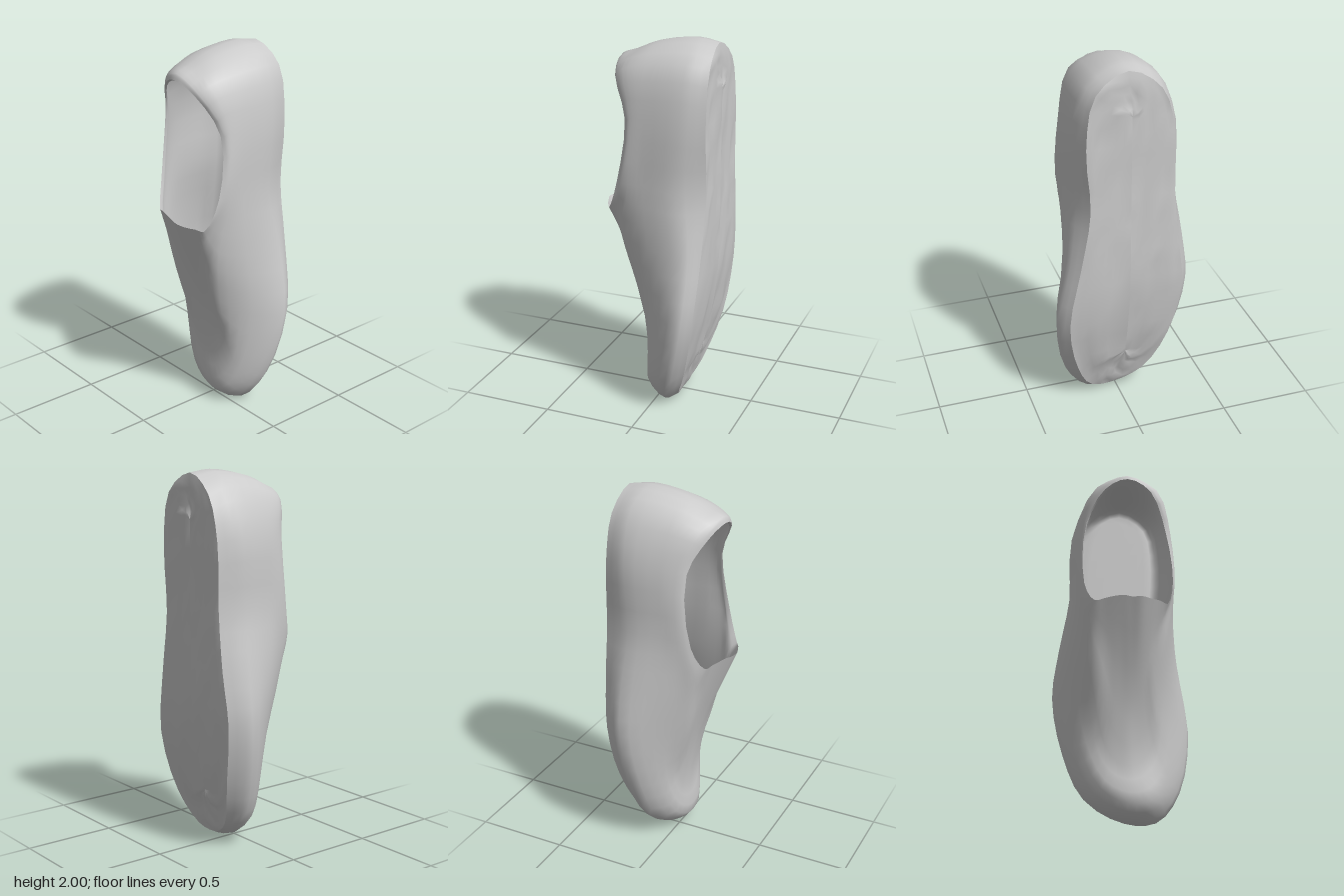
import * as THREE from 'three';

// Control loops, x y z, running toe -> left side -> heel -> right side.
const soleEdge = [
  0.03, 0.03, -0.115, 0.15, 0.05, -0.13, 0.25, 0.23, -0.2, 0.31, 0.56, -0.265,
  0.25, 0.93, -0.29, 0.2, 1.25, -0.295, 0.22, 1.6, -0.295, 0.17, 1.88, -0.295,
  0, 1.985, -0.285, -0.17, 1.88, -0.295, -0.24, 1.65, -0.295, -0.25, 1.3, -0.295,
  -0.28, 1, -0.295, -0.31, 0.72, -0.28, -0.25, 0.4, -0.245, -0.13, 0.13, -0.165];
const widest = [
  0, 0.01, -0.04, 0.17, 0.015, -0.06, 0.3, 0.19, -0.11, 0.365, 0.56, -0.19,
  0.305, 0.93, -0.2, 0.265, 1.25, -0.15, 0.265, 1.62, -0.17, 0.2, 1.9, -0.18,
  0, 2, -0.16, -0.18, 1.92, -0.18, -0.285, 1.67, -0.17, -0.29, 1.3, -0.15,
  -0.34, 1, -0.17, -0.37, 0.72, -0.17, -0.31, 0.39, -0.13, -0.2, 0.14, -0.09];
const middle = [
  0.02, 0.08, 0.06, 0.14, 0.1, 0.055, 0.23, 0.24, 0.01, 0.28, 0.58, -0.03,
  0.27, 0.93, 0, 0.265, 1.27, 0.03, 0.26, 1.62, 0.02, 0.19, 1.88, 0.05,
  0, 1.97, 0.04, -0.17, 1.9, 0.05, -0.265, 1.66, 0.02, -0.27, 1.3, 0.03,
  -0.29, 1, 0.02, -0.29, 0.72, -0.01, -0.23, 0.4, 0, -0.12, 0.16, 0.04];
const lowerVamp = [
  0.02, 0.28, 0.055, 0.09, 0.31, 0.05, 0.15, 0.42, 0.05, 0.17, 0.66, 0.1,
  0.22, 0.97, 0.15, 0.265, 1.27, 0.11, 0.25, 1.62, 0.1, 0.17, 1.85, 0.17,
  0, 1.92, 0.16, -0.15, 1.86, 0.17, -0.24, 1.66, 0.1, -0.255, 1.28, 0.11,
  -0.23, 1, 0.13, -0.18, 0.74, 0.12, -0.12, 0.45, 0.055, -0.06, 0.32, 0.05];
const upperVamp = [
  0.02, 0.62, 0.11, 0.06, 0.66, 0.12, 0.1, 0.75, 0.145, 0.14, 0.89, 0.18,
  0.2, 1.05, 0.2, 0.26, 1.27, 0.15, 0.24, 1.6, 0.125, 0.15, 1.81, 0.22,
  0, 1.89, 0.24, -0.13, 1.83, 0.21, -0.225, 1.66, 0.13, -0.24, 1.26, 0.15,
  -0.2, 1.06, 0.19, -0.13, 0.92, 0.18, -0.07, 0.78, 0.15, -0.02, 0.68, 0.125];
const collar = [
  0.02, 1.12, 0.29, 0.07, 1.12, 0.3, 0.12, 1.115, 0.285, 0.17, 1.115, 0.265,
  0.21, 1.11, 0.24, 0.25, 1.28, 0.175, 0.22, 1.6, 0.14, 0.13, 1.8, 0.23,
  0, 1.86, 0.255, -0.12, 1.81, 0.22, -0.215, 1.64, 0.145, -0.225, 1.25, 0.175,
  -0.17, 1.12, 0.23, -0.12, 1.125, 0.25, -0.07, 1.13, 0.27, -0.02, 1.13, 0.285];

const COLS = 48, STEPS = 3;

// Smooth closed loop through the control points
function loop(a) {
  const pts = [];
  for (let i = 0; i < a.length; i += 3) pts.push(new THREE.Vector3(a[i], a[i + 1], a[i + 2]));
  const curve = new THREE.CatmullRomCurve3(pts, true);
  return Array.from({ length: COLS }, (_, i) => curve.getPoint(i / COLS));
}

// Extra rows between loops, following a curve up each column
function refine(loops) {
  const n = (loops.length - 1) * STEPS;
  const columns = loops[0].map((_, i) => new THREE.CatmullRomCurve3(loops.map(l => l[i])));
  return Array.from({ length: n + 1 }, (_, r) => columns.map(c => c.getPoint(r / n)));
}

// Skin a stack of closed rows
function skin(name, rows) {
  const pos = rows.flatMap(row => row.flatMap(p => [p.x, p.y, p.z]));
  const index = [];
  for (let r = 0; r < rows.length - 1; r++) {
    for (let c = 0; c < COLS; c++) {
      const a = r * COLS + c, b = r * COLS + (c + 1) % COLS;
      index.push(a, b, a + COLS, b, b + COLS, a + COLS);
    }
  }
  const g = new THREE.BufferGeometry();
  g.setAttribute('position', new THREE.Float32BufferAttribute(pos, 3));
  g.setIndex(index);
  g.computeVertexNormals();
  const mesh = new THREE.Mesh(g, new THREE.MeshStandardMaterial({ color: 0xcccccc, side: THREE.DoubleSide }));
  mesh.name = name;
  return mesh;
}

// Height of the sole, curling up at the toe
const soleZ = y => -0.297 + 0.17 * Math.max(0, (0.95 - y) / 0.9) ** 2.1;

// Rows shrinking from an edge loop to a line along the middle of the sole
function fill(edge, lift, rough) {
  let seed = 7;
  const noise = () => (seed = (seed * 16807) % 2147483647) / 2147483647 - 0.5;
  const rows = [];
  for (const s of [0.86, 0.7, 0.52, 0.34, 0.17, 0]) {
    rows.push(edge.map(p => {
      const x = THREE.MathUtils.lerp(-0.015, p.x, s);
      const y = THREE.MathUtils.lerp(THREE.MathUtils.clamp(p.y, 0.3, 1.75), p.y, s);
      return new THREE.Vector3(x, y, soleZ(y) + lift + (s > 0 ? noise() * rough : 0));
    }));
  }
  return rows;
}

export function createModel() {
  const shoe = new THREE.Group();
  shoe.name = 'shoe';

  // Outer upper, from sole edge to collar
  const outer = refine([soleEdge, widest, middle, lowerVamp, upperVamp, collar].map(loop));
  shoe.add(skin('upper', outer));

  // Rough outsole
  shoe.add(skin('outsole', [outer[0], ...fill(outer[0], 0, 0.018)].reverse()));

  // Thin lining running back down inside and rounding into the insole
  const inset = p => new THREE.Vector3(p.x * 0.97, 1 + (p.y - 1) * 0.98, -0.05 + (p.z + 0.05) * 0.96);
  const inner = outer.slice(0, -1).map(row => row.map(inset)).reverse();
  const insole = fill(inner[inner.length - 1], 0.016, 0);
  shoe.add(skin('lining', [outer[outer.length - 1], ...inner, ...insole]));
  return shoe;
}
